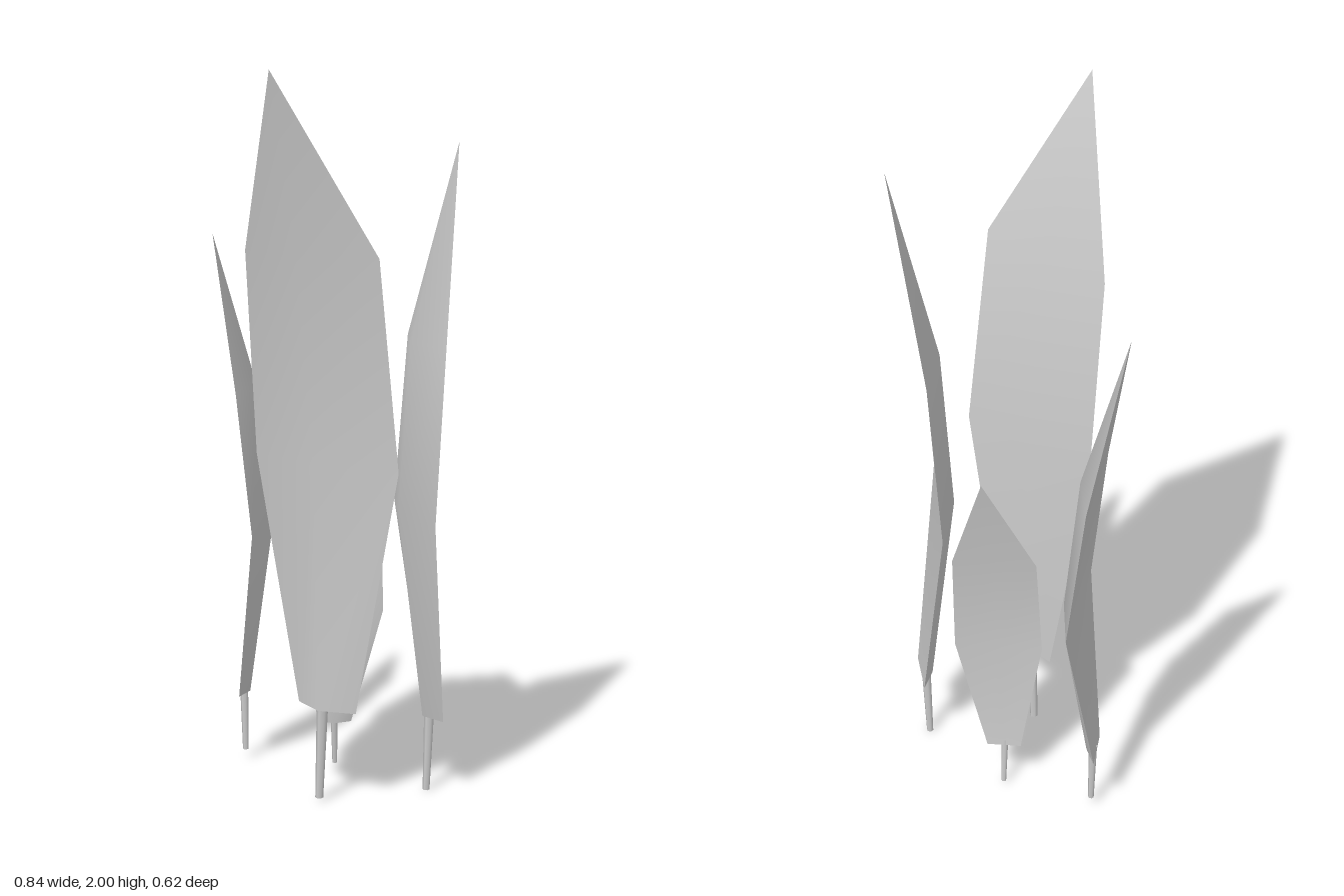
import * as THREE from 'three';
import { mergeGeometries } from 'three/addons/utils/BufferGeometryUtils.js';

const V = (x, y, z) => new THREE.Vector3(x, y, z);

// Smooth patch through rows of points; a one-point last row closes to a tip.
function patch(rows) {
  const index = [];
  let start = 0;
  for (let j = 0; j < rows.length - 1; j++) {
    const next = start + rows[j].length;
    for (let i = 0; i < rows[j].length - 1; i++) {
      const p = start + i;
      if (rows[j + 1].length === 1) index.push(p, p + 1, next);
      else index.push(p, p + 1, next + i + 1, p, next + i + 1, next + i);
    }
    start = next;
  }
  const geometry = new THREE.BufferGeometry().setFromPoints(rows.flat());
  geometry.setIndex(index);
  geometry.computeVertexNormals();
  return geometry;
}

// Each blade has one flat face and one keeled face. Rows are base, widest and
// shoulder as [y, xa, za, xb, zb], a and b being the left and right edges seen
// from outside. Keel heights are positive outward, negative inward.
const leaves = [
  {
    name: 'frontLeaf',
    rows: [[0.265, 0, 0.043, 0.2, 0.05], [0.95, -0.147, 0.043, 0.346, 0.063], [1.52, -0.124, 0.119, 0.333, 0.137]],
    tip: [0.106, 2, 0.306], keel: [0.04, 0.055, 0.062],
    stem: [[0.1, 0.28, 0.068], [0.087, 0.01, 0.065]], stemRadius: 0.016,
  },
  {
    name: 'rightLeaf',
    rows: [[0.205, -0.365, -0.155, -0.29, -0.05], [0.7, -0.38, -0.287, -0.194, 0.007], [1.1, -0.42, -0.258, -0.245, 0.013]],
    tip: [-0.411, 1.54, -0.09], keel: [-0.029, -0.041, -0.045],
    stem: [[-0.318, 0.22, -0.108], [-0.312, 0.03, -0.107]], stemRadius: 0.012,
  },
  {
    name: 'backLeaf',
    rows: [[0.135, -0.025, -0.238, -0.1, -0.178], [0.47, 0.057, -0.28, -0.136, -0.128], [0.78, 0.026, -0.312, -0.156, -0.17]],
    tip: [-0.089, 1.07, -0.309], keel: [-0.021, -0.03, -0.032],
    stem: [[-0.058, 0.15, -0.2], [-0.065, 0.01, -0.213]], stemRadius: 0.01,
  },
  {
    name: 'leftLeaf',
    rows: [[0.215, 0.34, -0.17, 0.22, -0.255], [0.8, 0.407, -0.022, 0.086, -0.29], [1.27, 0.416, -0.052, 0.122, -0.3]],
    tip: [0.328, 1.81, -0.238], keel: [-0.034, -0.045, -0.045],
    stem: [[0.274, 0.23, -0.198], [0.268, 0, -0.195]], stemRadius: 0.014,
  },
];

function makeBlade({ rows, tip, keel }) {
  const outer = [], inner = [];
  rows.forEach(([y, xa, za, xb, zb], i) => {
    const a = V(xa, y, za), b = V(xb, y, zb);
    const out = V(za - zb, 0, xb - xa).normalize();
    const middle = (offset) => a.clone().lerp(b, 0.5).addScaledVector(out, offset);
    outer.push([a, middle(Math.max(keel[i], 0)), b]);
    inner.push([b, middle(Math.min(keel[i], 0)), a]);
  });
  const base = [[...inner[0]].reverse(), outer[0]];
  const point = V(...tip);
  return mergeGeometries([patch([...outer, [point]]), patch([...inner, [point]]), patch(base)]);
}

// Thin tapered stem between two points
function makeStem([top, bottom], radius) {
  const a = V(...bottom), b = V(...top);
  const dir = b.clone().sub(a);
  const geometry = new THREE.CylinderGeometry(radius, radius * 0.7, dir.length(), 6);
  geometry.applyQuaternion(new THREE.Quaternion().setFromUnitVectors(V(0, 1, 0), dir.normalize()));
  const mid = a.add(b).multiplyScalar(0.5);
  return geometry.translate(mid.x, mid.y, mid.z);
}

export function createModel() {
  const model = new THREE.Group();
  model.name = 'leafCluster';
  const material = new THREE.MeshStandardMaterial({ color: 0xcccccc, side: THREE.DoubleSide });
  for (const leaf of leaves) {
    const group = new THREE.Group();
    group.name = leaf.name;
    const blade = new THREE.Mesh(makeBlade(leaf), material);
    blade.name = 'blade';
    const stem = new THREE.Mesh(makeStem(leaf.stem, leaf.stemRadius), material);
    stem.name = 'stem';
    group.add(blade, stem);
    model.add(group);
  }
  return model;
}
